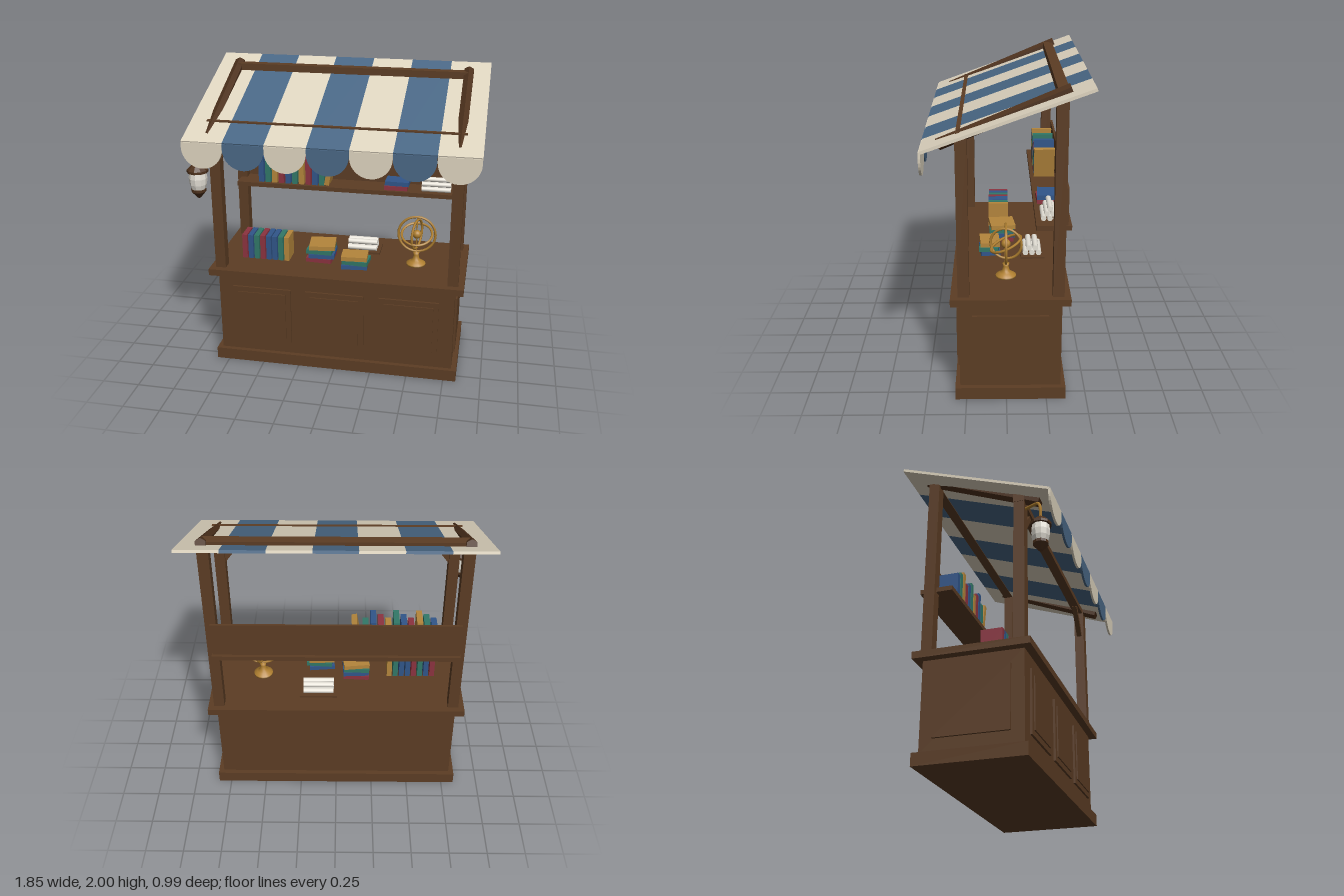
import * as THREE from 'three';

const mat = (name, color) => {
  const m = new THREE.MeshStandardMaterial({ color });
  m.name = name;
  return m;
};

export function createModel() {
  const wood = mat('wood', 0x5c3d24);
  const cream = mat('creamCloth', 0xdfd5c0);
  const blueCloth = mat('blueCloth', 0x4a6886);
  const red = mat('redCover', 0x8c3340);
  const blue = mat('blueCover', 0x31568a);
  const teal = mat('tealCover', 0x327868);
  const tan = mat('ochreCover', 0xb4863c);
  const brass = mat('brass', 0xb08030);
  const paper = mat('paper', 0xe6e2d8);
  const darkWood = mat('darkWood', 0x4d311c);

  const model = new THREE.Group();
  model.name = 'marketStall';

  const add = (name, geo, material, x = 0, y = 0, z = 0, parent = model) => {
    const mesh = new THREE.Mesh(geo, material);
    mesh.name = name;
    mesh.position.set(x, y, z);
    parent.add(mesh);
    return mesh;
  };
  // box given by its extents on each axis
  const span = (name, m, x0, x1, y0, y1, z0, z1, parent = model) =>
    add(name, new THREE.BoxGeometry(x1 - x0, y1 - y0, z1 - z0), m, (x0 + x1) / 2, (y0 + y1) / 2, (z0 + z1) / 2, parent);
  // bar running between two points
  const bar = (name, geo, m, a, b) => {
    const mesh = add(name, geo, m);
    mesh.position.copy(a).add(b).multiplyScalar(0.5);
    mesh.quaternion.setFromUnitVectors(new THREE.Vector3(0, 1, 0), b.clone().sub(a).normalize());
    return mesh;
  };
  const V = (x, y, z) => new THREE.Vector3(x, y, z);

  // Counter
  span('plinth', wood, -0.835, 0.835, 0, 0.08, -0.37, 0.32);
  span('counterBody', wood, -0.8, 0.8, 0.08, 0.66, -0.34, 0.29);
  span('countertop', wood, -0.855, 0.855, 0.655, 0.7, -0.39, 0.34);
  for (const x of [-0.5, 0, 0.5]) {
    span('frontPanel', wood, x - 0.2, x + 0.2, 0.165, 0.57, 0.28, 0.304);
    span('frontPanelInset', wood, x - 0.165, x + 0.165, 0.2, 0.535, 0.29, 0.312);
  }
  for (const s of [-1, 1]) {
    add('sidePanel', new THREE.BoxGeometry(0.03, 0.405, 0.47), wood, s * 0.8, 0.367, -0.025);
  }

  // Frame: posts, knee braces, rafters and beams
  for (const s of [-1, 1]) {
    span('frontPost', wood, s * 0.782 - 0.035, s * 0.782 + 0.035, 0.69, 1.7, 0.225, 0.295);
    span('backPost', wood, s * 0.782 - 0.035, s * 0.782 + 0.035, 0.69, 1.92, -0.35, -0.28);
    const a = V(s * 0.77, 1.46, 0.26), b = V(s * 0.62, 1.66, 0.26);
    bar('kneeBrace', new THREE.BoxGeometry(0.035, a.distanceTo(b), 0.035), wood, a, b);
    const c = V(s * 0.784, 1.647, 0.39), d = V(s * 0.784, 1.964, -0.365);
    const rafter = new THREE.CylinderGeometry(0.036, 0.036, c.distanceTo(d), 6).toNonIndexed();
    rafter.computeVertexNormals();
    bar('rafter', rafter, darkWood, c, d);
  }
  span('backBeam', wood, -0.785, 0.785, 1.9, 1.97, -0.35, -0.285);
  span('frontBeam', wood, -0.82, 0.82, 1.66, 1.726, 0.225, 0.289);

  // Striped awning with scalloped valance
  const stripe = 1.85 / 7;
  const slope = Math.atan2(0.355, 0.98);
  const scallop = new THREE.Shape();
  const w = stripe / 2 - 0.001;
  scallop.moveTo(-w, 0.035);
  scallop.lineTo(-w, 0);
  scallop.absellipse(0, 0, w, 0.13, Math.PI, Math.PI * 2, false);
  scallop.lineTo(w, 0.035);
  const scallopGeo = new THREE.ExtrudeGeometry(scallop, { depth: 0.014, bevelEnabled: false, curveSegments: 8 });
  for (let i = 0; i < 7; i++) {
    const x = (i - 3) * stripe;
    const cloth = i % 2 ? blueCloth : cream;
    const roof = add('awningStripe', new THREE.BoxGeometry(stripe, 0.018, Math.hypot(0.98, 0.355) - 0.006), cloth, x, 1.813, -0.003);
    roof.rotation.x = slope;
    add('valanceScallop', scallopGeo, cloth, x, 1.603, 0.479);
  }

  // Back shelf
  span('shelf', wood, -0.79, 0.79, 1.12, 1.15, -0.386, -0.175);
  span('shelfBack', wood, -0.785, 0.785, 1.12, 1.382, -0.365, -0.35);

  // Upright books on the shelf
  const covers = [blue, teal, tan, red];
  const heights = [0.18, 0.208, 0.237];
  for (let i = 0; i < 10; i++) {
    const h = heights[i % 3];
    add('shelfBook', new THREE.BoxGeometry(0.037, h, 0.14), covers[i % 4], -0.62 + i * 0.0483, 1.15 + h / 2, -0.27);
  }
  const leaning = add('leaningBook', new THREE.BoxGeometry(0.034, 0.205, 0.14), tan, -0.133, 1.255, -0.27);
  leaning.rotation.z = -0.18;

  // Upright books on the counter
  [red, blue, teal, red, blue, blue, teal, tan].forEach((m, i) =>
    add('counterBook', new THREE.BoxGeometry(0.034, 0.172, 0.14), m, -0.663 + i * 0.0422, 0.786, 0.045));

  // Stacks of lying books
  const stack = (x, y, z, width, depth, colours, turn) => colours.forEach((m, i) => {
    const book = add('stackedBook', new THREE.BoxGeometry(width, 0.03, depth), m, x + (i % 2 ? 0.006 : -0.004), y + 0.015 + i * 0.0305, z);
    book.rotation.y = turn[i];
  });
  stack(-0.138, 0.7, 0.02, 0.175, 0.17, [red, blue, teal, tan], [-0.06, 0.05, -0.04, 0.12]);
  stack(0.11, 0.7, 0.105, 0.175, 0.13, [blue, teal, tan], [0.1, -0.08, 0.06]);
  stack(0.338, 1.15, -0.26, 0.16, 0.13, [red], [0.03]);
  stack(0.348, 1.181, -0.26, 0.165, 0.12, [blue], [-0.04]);

  // Rolled scrolls in pyramids
  const scrolls = (x, y, z, length, r, rows) => {
    const geo = new THREE.CylinderGeometry(r, r, length, 10).rotateZ(Math.PI / 2);
    for (let row = 0, n = rows[0]; row < rows.length; row++) {
      n = rows[row];
      for (let i = 0; i < n; i++) {
        add('scroll', geo, paper, x, y + r + row * r * 1.8, z + (i - (n - 1) / 2) * r * 2.3);
      }
    }
  };
  span('scrollTray', wood, -0.005, 0.247, 0.7, 0.714, -0.26, -0.1);
  scrolls(0.12, 0.714, -0.178, 0.205, 0.019, [3, 2]);
  scrolls(0.612, 1.15, -0.26, 0.2, 0.0165, [3, 2, 1]);

  // Armillary sphere
  const sphere = new THREE.Group();
  sphere.name = 'armillarySphere';
  sphere.position.set(0.512, 0.7, 0);
  model.add(sphere);
  const foot = [[0, 0], [0.065, 0], [0.065, 0.012], [0.042, 0.026], [0.024, 0.04], [0.017, 0.07], [0.022, 0.09], [0, 0.1]];
  add('foot', new THREE.LatheGeometry(foot.map(p => new THREE.Vector2(...p)), 16), brass, 0, 0, 0, sphere);
  const ring = (radius, rx, ry) => {
    const mesh = add('ring', new THREE.TorusGeometry(radius, 0.0085, 6, 32), brass, 0, 0.222, 0, sphere);
    mesh.rotation.set(rx, ry, 0);
  };
  ring(0.125, 0, 0);
  ring(0.1, 0, Math.PI / 2 - 0.25);
  ring(0.103, Math.PI / 2 + 0.42, 0);
  add('globe', new THREE.SphereGeometry(0.03, 16, 12), brass, 0, 0.222, 0, sphere);
  add('axis', new THREE.CylinderGeometry(0.004, 0.004, 0.25, 6), brass, 0, 0.222, 0, sphere);

  // Hanging lantern on a curved bracket
  const path = new THREE.CatmullRomCurve3([V(-0.785, 1.61, 0.28), V(-0.81, 1.615, 0.35), V(-0.845, 1.595, 0.395), V(-0.857, 1.55, 0.41), V(-0.857, 1.47, 0.41)]);
  add('lanternBracket', new THREE.TubeGeometry(path, 16, 0.01, 6), brass);
  const lantern = new THREE.Group();
  lantern.name = 'lantern';
  lantern.position.set(-0.857, 0, 0.41);
  model.add(lantern);
  const turned = (name, m, pts) => {
    const geo = new THREE.LatheGeometry(pts.map(p => new THREE.Vector2(...p)), 10).toNonIndexed();
    geo.computeVertexNormals();
    add(name, geo, m, 0, 0, 0, lantern);
  };
  turned('lanternBase', darkWood, [[0, 1.24], [0.014, 1.25], [0.048, 1.29], [0.048, 1.308], [0, 1.308]]);
  turned('lanternGlass', paper, [[0.044, 1.305], [0.055, 1.34], [0.059, 1.38], [0.053, 1.43]]);
  turned('lanternCap', darkWood, [[0, 1.42], [0.068, 1.42], [0.068, 1.436], [0.04, 1.465], [0.012, 1.487], [0, 1.492]]);

  return model;
}
